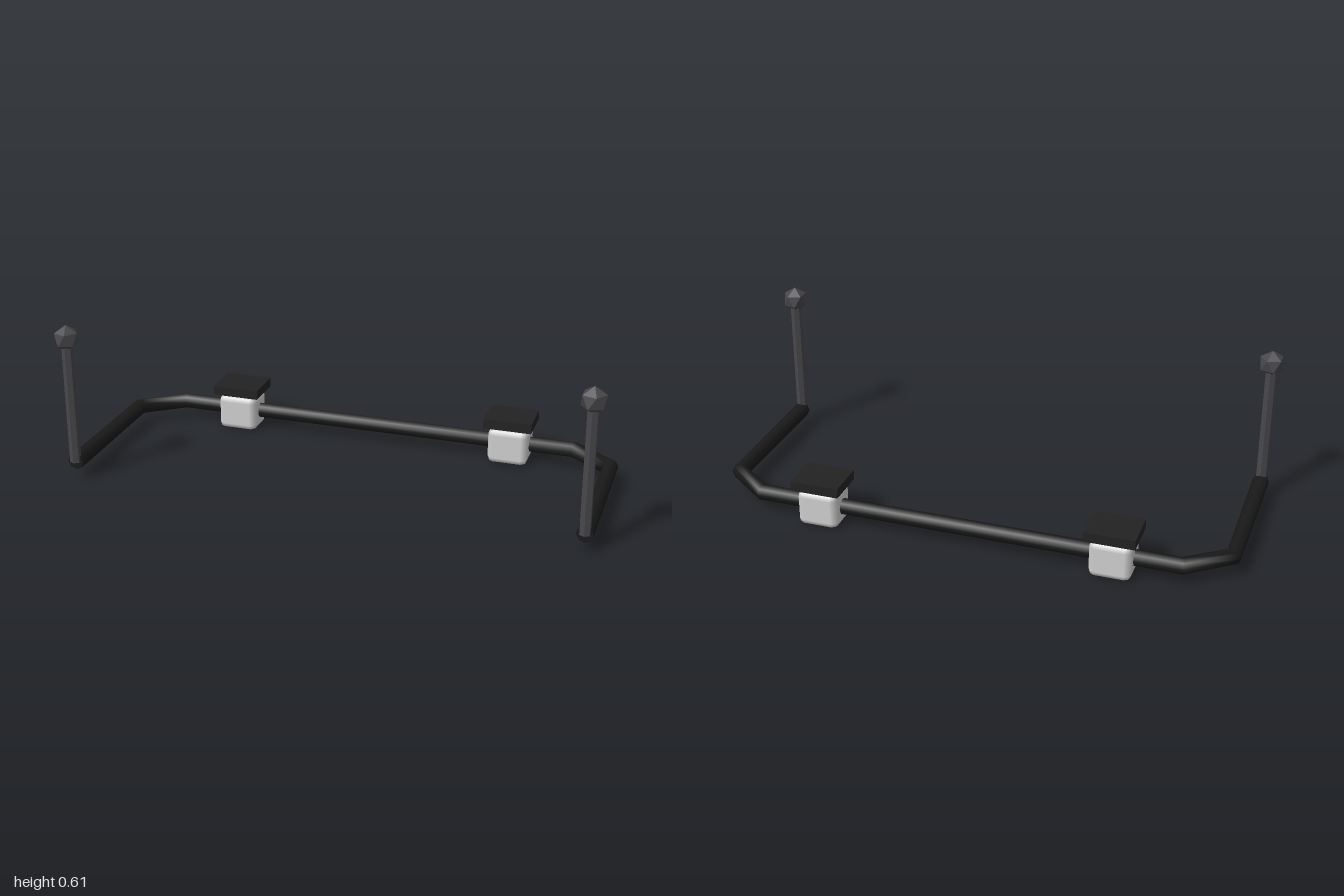
import * as THREE from 'three';
import { RoundedBoxGeometry } from 'three/addons/geometries/RoundedBoxGeometry.js';

const BAR_Y = 0.07, BAR_R = 0.031, BAR_SIDES = 8;
const ARM_X = 0.955, ARM_Z = 0.357, BACK_Z = -0.322;

// Bent tube: one unscaled ring per path point, set on the bisector of each bend
function bentTube(path) {
  const up = new THREE.Vector3(0, 1, 0);
  const positions = [], indices = [];
  path.forEach((p, i) => {
    const t = new THREE.Vector3();
    if (i > 0) t.add(p.clone().sub(path[i - 1]).normalize());
    if (i < path.length - 1) t.add(path[i + 1].clone().sub(p).normalize());
    const side = t.normalize().cross(up);
    for (let j = 0; j < BAR_SIDES; j++) {
      const a = (j / BAR_SIDES) * Math.PI * 2;
      const v = p.clone().addScaledVector(side, BAR_R * Math.cos(a)).addScaledVector(up, BAR_R * Math.sin(a));
      positions.push(v.x, v.y, v.z);
      if (i < path.length - 1) {
        const k = (j + 1) % BAR_SIDES, r0 = i * BAR_SIDES, r1 = r0 + BAR_SIDES;
        indices.push(r0 + j, r1 + j, r0 + k, r0 + k, r1 + j, r1 + k);
      }
    }
  });
  const g = new THREE.BufferGeometry();
  g.setAttribute('position', new THREE.Float32BufferAttribute(positions, 3));
  g.setIndex(indices);
  g.computeVertexNormals();
  return g;
}

export function createModel() {
  const model = new THREE.Group();
  model.name = 'antiRollBar';

  const material = (name, color, flatShading = false) => {
    const m = new THREE.MeshStandardMaterial({ color, flatShading });
    m.name = name;
    return m;
  };
  const barBlack = material('barBlack', 0x1a1a1a);
  const bracketBlack = material('bracketBlack', 0x222222);
  const linkGrey = material('linkGrey', 0x48484c, true);
  const bushingGrey = material('bushingGrey', 0xd0d0d0);

  const add = (name, geometry, mat, x = 0, y = 0, z = 0) => {
    const mesh = new THREE.Mesh(geometry, mat);
    mesh.name = name;
    mesh.position.set(x, y, z);
    model.add(mesh);
  };

  // U-shaped bar with chamfered corners
  const half = [[ARM_X, ARM_Z], [ARM_X, -0.205], [0.8, BACK_Z]];
  const outline = [...half, ...half.map(([x, z]) => [-x, z]).reverse()];
  add('bar', bentTube(outline.map(([x, z]) => new THREE.Vector3(x, BAR_Y, z))), barBlack);

  // Ball joint with one corner straight up
  const ball = new THREE.IcosahedronGeometry(0.049, 0);
  ball.rotateX(-Math.atan((1 + Math.sqrt(5)) / 2));
  ball.rotateY(Math.PI / 2);

  for (const [side, s] of [['left', 1], ['right', -1]]) {
    // Bar end, upright link and its ball
    add(side + 'BarEnd', new THREE.CircleGeometry(BAR_R, BAR_SIDES), barBlack, s * ARM_X, BAR_Y, ARM_Z);
    add(side + 'Link', new THREE.CylinderGeometry(0.021, 0.021, 0.49, 6), linkGrey, s * ARM_X, 0.317, ARM_Z);
    add(side + 'BallJoint', ball, linkGrey, s * ARM_X, 0.563, ARM_Z);

    // Bushing block with the bracket plate above it
    add(side + 'Bushing', new RoundedBoxGeometry(0.155, 0.14, 0.139, 1, 0.024), bushingGrey, s * 0.553, 0.07, -0.32);
    add(side + 'Bracket', new THREE.BoxGeometry(0.185, 0.037, 0.153), bracketBlack, s * 0.553, 0.164, -0.321);
  }
  return model;
}
